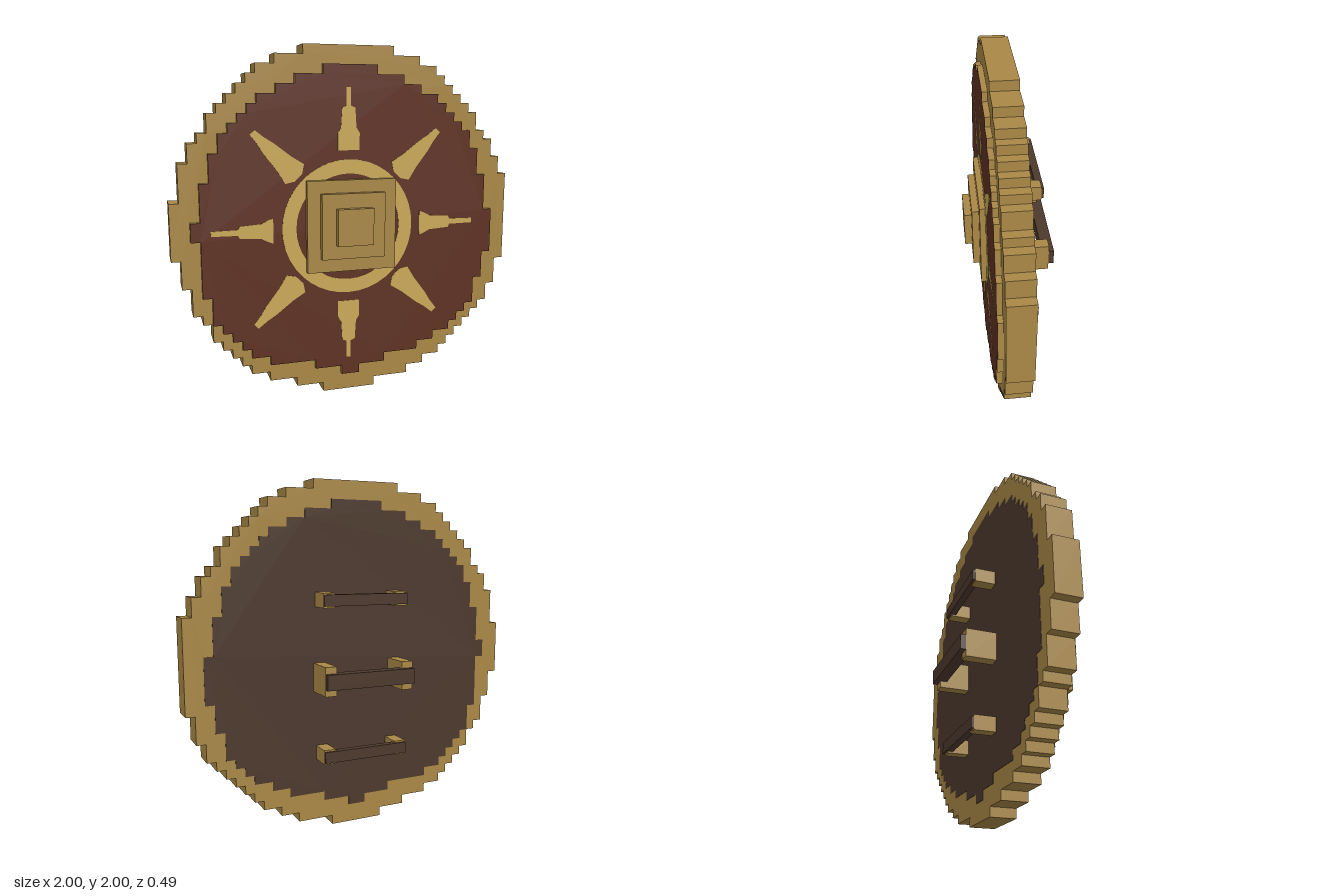
import * as THREE from 'three';

const U = 1 / 19; // size of one stair step in the outlines

const mat = (name, color, side = THREE.FrontSide) => {
  const m = new THREE.MeshStandardMaterial({ color, side });
  m.name = name;
  return m;
};

// Stepped outline: left and right extents per row (in steps), from firstRow downwards
function steppedShape(firstRow, left, right) {
  const pts = [];
  const yAt = (i) => 2 - (firstRow + i) * U;
  right.forEach((w, i) => pts.push([w * U, yAt(i)], [w * U, yAt(i + 1)]));
  for (let i = left.length - 1; i >= 0; i--) pts.push([-left[i] * U, yAt(i + 1)], [-left[i] * U, yAt(i)]);
  // drop points repeated or lying along a straight run
  const clean = pts.filter((p, i) => {
    const a = pts[(i + pts.length - 1) % pts.length], b = pts[(i + 1) % pts.length];
    return !((a[0] === p[0] && b[0] === p[0]) || (a[1] === p[1] && b[1] === p[1]));
  });
  return new THREE.Shape(clean.reverse().map((p) => new THREE.Vector2(p[0], p[1])));
}

export function createModel() {
  const model = new THREE.Group();
  model.name = 'roundShield';
  const gold = mat('agedGold', 0xa98846);
  const lightGold = mat('lightGold', 0xc9a857);
  const red = mat('redBrown', 0x5e3122);
  const dark = mat('darkWood', 0x4d392d);

  const add = (name, geometry, material, z = 0, parent = model) => {
    const mesh = new THREE.Mesh(geometry, material);
    mesh.name = name;
    mesh.position.z = z;
    parent.add(mesh);
    return mesh;
  };
  const extrude = (shape, depth, curveSegments = 12) =>
    new THREE.ExtrudeGeometry(shape, { depth, bevelEnabled: false, curveSegments });
  const box = (name, x0, x1, y0, y1, z0, z1, material, parent = model) => {
    const m = add(name, new THREE.BoxGeometry(x1 - x0, y1 - y0, z1 - z0), material, (z0 + z1) / 2, parent);
    m.position.x = (x0 + x1) / 2;
    m.position.y = (y0 + y1) / 2;
  };

  // Main disc with stair-stepped rim
  const rim = steppedShape(0,
    [5, 8, 10, 11, 12, 13, 14, 15, 15, 16, 17, 17, 18, 18, 18, 18, 19, 19, 19, 19, 19, 19,
      18, 18, 18, 17, 17, 17, 16, 15, 15, 14, 13, 12, 11, 9, 6, 3],
    [5, 8, 10, 11, 12, 13, 14, 15, 15, 16, 17, 17, 18, 18, 19, 19, 19, 19, 19, 19, 19, 19,
      19, 19, 18, 18, 18, 17, 17, 16, 15, 14, 13, 12, 11, 9, 7, 3]);
  add('rimDisc', extrude(rim, 0.145), gold, -0.04);

  // Raised front panel (gold edge) and the flush panel on the back
  const panel = steppedShape(2,
    [3, 6, 8, 10, 11, 12, 13, 14, 14, 15, 15, 15, 16, 16, 16, 16, 17, 17, 16, 16, 16, 16,
      16, 16, 15, 15, 15, 14, 13, 12, 11, 9, 7, 1].map((v, i) => (i === 32 ? 4 : v)),
    [3, 6, 8, 10, 11, 12, 13, 14, 14, 15, 15, 15, 16, 16, 16, 16, 17, 17, 17, 17, 17, 16,
      16, 16, 15, 15, 15, 14, 13, 12, 10, 8, 4, 1]);
  add('frontPanel', extrude(panel, 0.03), [red, gold], 0.105);
  add('backPanel', extrude(panel, 0.003), dark, -0.042);

  // Sun emblem: ring and eight rays, as thin plates
  const sun = new THREE.Group();
  sun.name = 'sunEmblem';
  sun.position.set(-0.013, 0.99, 0.1335);
  model.add(sun);
  const ring = new THREE.Shape().absarc(0, 0, 0.385, 0, Math.PI * 2);
  ring.holes.push(new THREE.Path().absarc(0, 0, 0.305, 0, Math.PI * 2, true));
  add('sunRing', extrude(ring, 0.004, 20), lightGold, 0, sun);

  // Ray profiles: [distance from centre, half width]
  const upright = [[0.435, 0.064], [0.53, 0.064], [0.56, 0.045], [0.67, 0.038], [0.68, 0.013], [0.78, 0.013]];
  const level = [[0.435, 0.072], [0.465, 0.06], [0.5, 0.042], [0.62, 0.034], [0.63, 0.016], [0.775, 0.014]];
  const slanted = [[0.41, 0.03], [0.44, 0.075], [0.52, 0.056], [0.64, 0.04], [0.7, 0.026], [0.765, 0.018]];
  for (let i = 0; i < 8; i++) {
    const profile = i % 2 ? slanted : i % 4 ? upright : level;
    const side = (s) => profile.map(([r, w]) => new THREE.Vector2(r, w * s));
    const shape = new THREE.Shape([...side(-1), ...side(1).reverse()]);
    add('sunRay', extrude(shape, 0.004), lightGold, 0, sun).rotation.z = (i * Math.PI) / 4;
  }

  // Square boss in three tiers
  box('bossBase', -0.262, 0.26, 0.74, 1.262, 0.13, 0.168, gold);
  box('bossMiddle', -0.187, 0.183, 0.82, 1.19, 0.16, 0.206, gold);
  box('bossTop', -0.107, 0.102, 0.9, 1.108, 0.2, 0.247, gold);

  // Back handles: two gold posts carrying a dark bar
  const handle = (name, y, postH, barH, x0, x1, zPost, zBar0, zBar1) => {
    const g = new THREE.Group();
    g.name = name;
    model.add(g);
    for (const s of [-1, 1]) {
      const a = s * x0, b = s * x1;
      box('post', Math.min(a, b), Math.max(a, b), y - postH / 2, y + postH / 2, zPost, -0.03, gold, g);
    }
    box('bar', -x1 + 0.002, x1 - 0.002, y - barH / 2, y + barH / 2, zBar1, zBar0, dark, g);
  };
  handle('upperStrap', 1.34, 0.083, 0.064, 0.19, 0.26, -0.163, -0.135, -0.176);
  handle('grip', 0.898, 0.165, 0.088, 0.205, 0.273, -0.217, -0.178, -0.247);
  handle('lowerStrap', 0.456, 0.083, 0.064, 0.19, 0.26, -0.163, -0.135, -0.176);

  return model;
}
